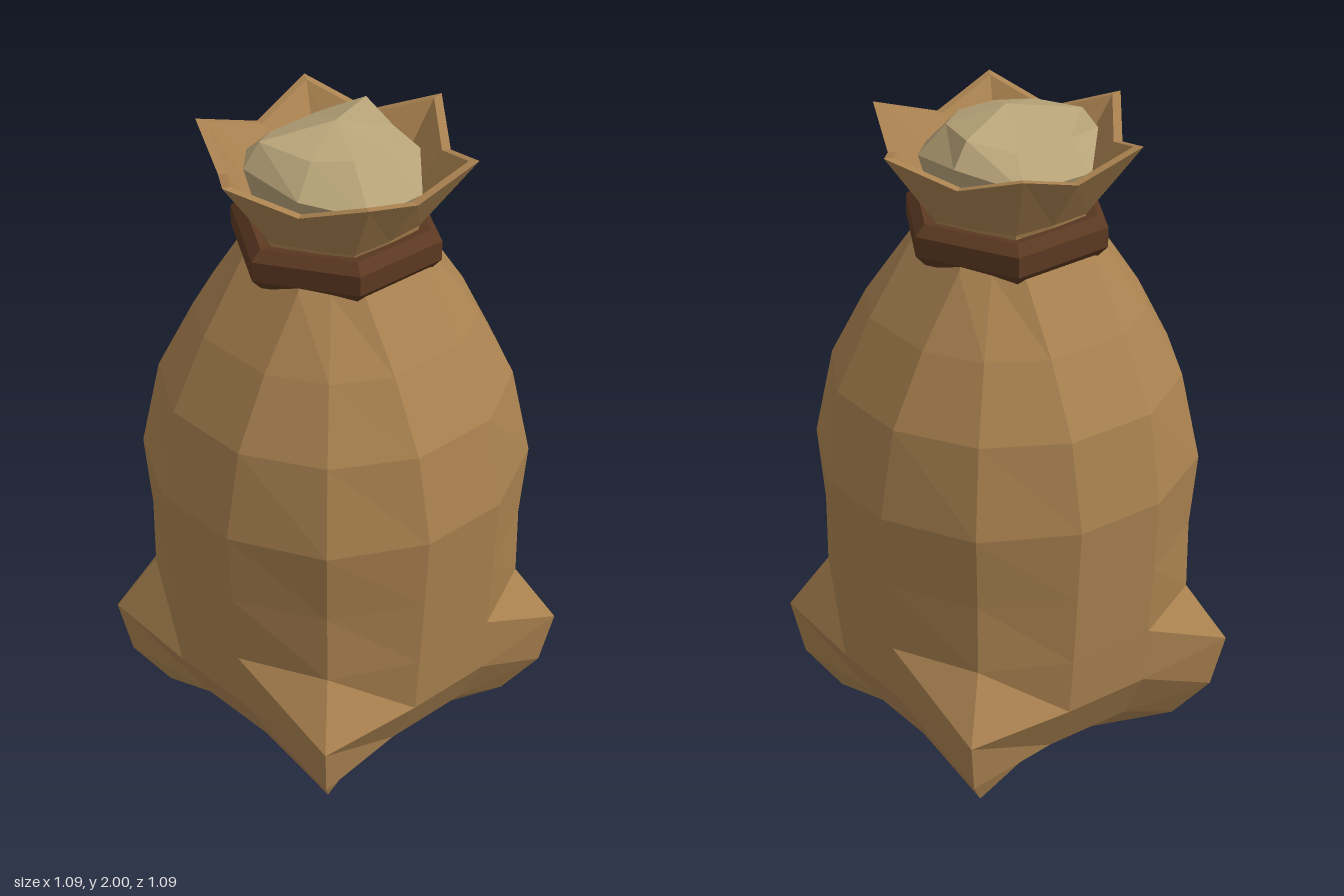
import * as THREE from 'three';

const mat = (name, color) => {
  const m = new THREE.MeshStandardMaterial({ color, flatShading: true });
  m.name = name;
  return m;
};

// Skin between rings of points; a ring with one point closes the end.
function loft(name, rings, material) {
  const pos = [];
  const tri = (...pts) => {
    if (new Set(pts).size === 3) pts.forEach((p) => pos.push(...p));
  };
  for (let k = 0; k < rings.length - 1; k++) {
    const lo = rings[k], hi = rings[k + 1];
    const n = Math.max(lo.length, hi.length);
    for (let i = 0; i < n; i++) {
      const at = (r, j) => r[j % r.length];
      const a = at(lo, i), b = at(lo, i + 1), c = at(hi, i + 1), d = at(hi, i);
      tri(b, a, c);
      tri(a, d, c);
    }
  }
  const geo = new THREE.BufferGeometry();
  geo.setAttribute('position', new THREE.Float32BufferAttribute(pos, 3));
  geo.computeVertexNormals();
  const mesh = new THREE.Mesh(geo, material);
  mesh.name = name;
  return mesh;
}

// Twelve-point sack ring: four flat sides (distance d, half width s) and corners c.
function sackRing([y, d, s, c]) {
  const pts = [];
  for (let q = 0; q < 4; q++) {
    const cs = [1, 0, -1, 0][q], sn = [0, 1, 0, -1][q];
    for (const [x, z] of [[d, -s], [d, s], [c, c]]) {
      pts.push([x * cs - z * sn, y, x * sn + z * cs]);
    }
  }
  return pts;
}

// Ring of n points; odd points may have their own radius and height.
function polyRing(n, r, y, rOdd = r, yOdd = y) {
  return Array.from({ length: n }, (_, i) => {
    const t = (i / n) * Math.PI * 2, rad = i % 2 ? rOdd : r;
    return [Math.cos(t) * rad, i % 2 ? yOdd : y, Math.sin(t) * rad];
  });
}

export function createModel() {
  const burlap = mat('burlap', 0xaa8250);
  const cord = mat('dark cord', 0x5c3922);
  const grain = mat('grain', 0xb7a378);
  const model = new THREE.Group();
  model.name = 'grainSack';

  // Bulging body with four ears at the lower corners: [y, side, half width, corner]
  const levels = [
    [0, 0.28, 0.12, 0.37],
    [0.12, 0.41, 0.14, 0.45],
    [0.29, 0.5, 0.14, 0.48],
    [0.47, 0.515, 0.14, 0.39],
    [0.69, 0.53, 0.14, 0.39],
    [0.92, 0.545, 0.14, 0.405],
    [1.19, 0.495, 0.14, 0.365],
    [1.4, 0.385, 0.13, 0.29],
    [1.6, 0.25, 0.12, 0.19],
    [1.7, 0.19, 0.08, 0.15],
  ];
  model.add(loft('sackBody', [[[0, 0, 0]], ...levels.map(sackRing)], burlap));

  // Flared star-shaped mouth, outside, rim and inside
  model.add(loft('sackMouth', [
    polyRing(12, 0.23, 1.64, 0.2, 1.64),
    polyRing(12, 0.245, 1.71, 0.22, 1.71),
    polyRing(12, 0.41, 1.94, 0.33, 1.87),
    polyRing(12, 0.38, 1.935, 0.305, 1.87),
    polyRing(12, 0.21, 1.7, 0.19, 1.7),
  ], burlap));

  // Six-sided cord around the neck
  const section = [[0.2, 1.6], [0.28, 1.585], [0.312, 1.62], [0.312, 1.68], [0.28, 1.71], [0.2, 1.695], [0.2, 1.6]];
  model.add(loft('neckCord', section.map(([r, y]) => polyRing(6, r, y, r, y - 0.008)), cord));

  // Lumpy heap of grain in the mouth
  const outer = [
    [0.25, 1.9, -0.1], [0.23, 1.87, 0.1], [0.1, 1.83, 0.245], [-0.1, 1.83, 0.245],
    [-0.23, 1.87, 0.1], [-0.25, 1.9, -0.1], [-0.11, 1.85, -0.25], [0.12, 1.85, -0.25],
  ];
  const inner = [
    [0.2, 1.97, -0.09], [0.155, 1.955, 0.07], [0.06, 1.95, 0.14], [-0.06, 1.95, 0.14],
    [-0.155, 1.955, 0.07], [-0.2, 1.97, -0.09], [-0.09, 1.93, -0.17], [0.09, 1.93, -0.17],
  ];
  const base = outer.map(([x, , z]) => [x * 0.8, 1.7, z * 0.8]);
  model.add(loft('grainHeap', [base, outer, inner, [[0, 2, 0]]], grain));

  return model;
}
